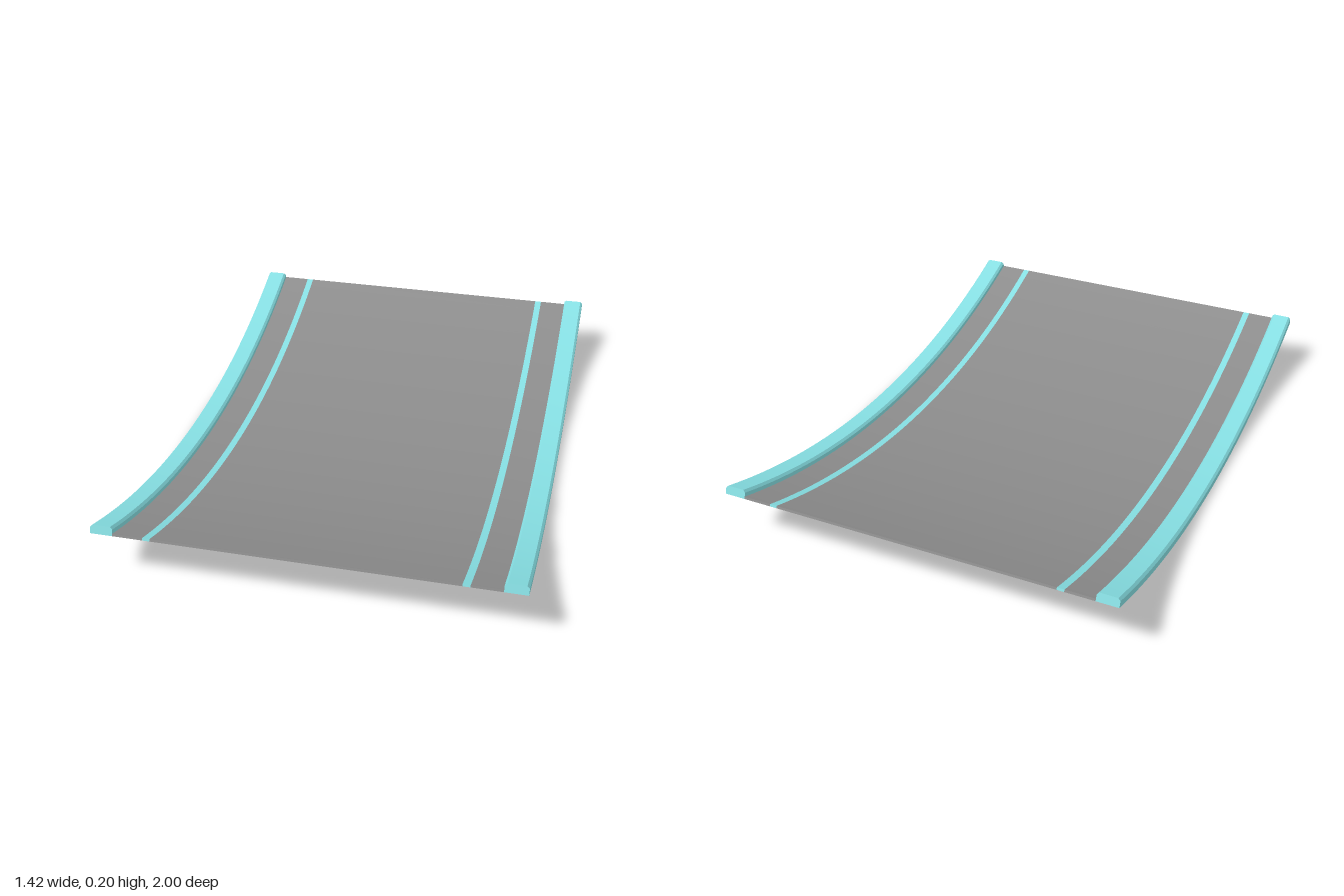
import * as THREE from 'three';
import { toCreasedNormals } from 'three/addons/utils/BufferGeometryUtils.js';

const HALF_ANGLE = THREE.MathUtils.degToRad(20);
const RADIUS = 1 / Math.sin(HALF_ANGLE);
const DECK = 0.008; // sheet thickness
const RAIL = 0.03; // rail height

// Sweeps an (x, height) cross-section along the upward-curving arc.
function sweep(points, material, name) {
  const shape = new THREE.Shape(points.map(([x, h]) => new THREE.Vector2(x, h)));
  const geometry = new THREE.ExtrudeGeometry(shape, { depth: 2, steps: 40, bevelEnabled: false });
  const p = geometry.attributes.position;
  for (let i = 0; i < p.count; i++) {
    const angle = (p.getZ(i) - 1) * HALF_ANGLE;
    const r = RADIUS - p.getY(i);
    p.setXYZ(i, p.getX(i), RADIUS - r * Math.cos(angle), r * Math.sin(angle));
  }
  const mesh = new THREE.Mesh(toCreasedNormals(geometry, 0.3), material);
  mesh.name = name;
  return mesh;
}

const strip = (x0, x1) => [[x0, 0], [x1, 0], [x1, DECK], [x0, DECK]];

export function createModel() {
  const group = new THREE.Group();
  group.name = 'curvedTrack';
  const grey = new THREE.MeshStandardMaterial({ color: 0x8c8c8c });
  const teal = new THREE.MeshStandardMaterial({ color: 0x86dfe3 });

  // Central road surface
  group.add(sweep(strip(-0.505, 0.505), grey, 'deckCentre'));

  // Chamfered edge rail, drawn on the +x side
  const c = 0.008;
  const rail = [
    [0.632, 0], [0.708, 0], [0.708, RAIL - c], [0.708 - c, RAIL],
    [0.632 + c, RAIL], [0.632, RAIL - c],
  ];
  for (const [side, s] of [['left', 1], ['right', -1]]) {
    const mirror = (pts) => pts.map(([x, h]) => [x * s, h]);
    // Inlaid stripe, outer deck and rail
    group.add(sweep(mirror(strip(0.505, 0.53)), teal, side + 'Stripe'));
    group.add(sweep(mirror(strip(0.53, 0.632)), grey, side + 'DeckEdge'));
    group.add(sweep(mirror(rail), teal, side + 'Rail'));
  }
  return group;
}
